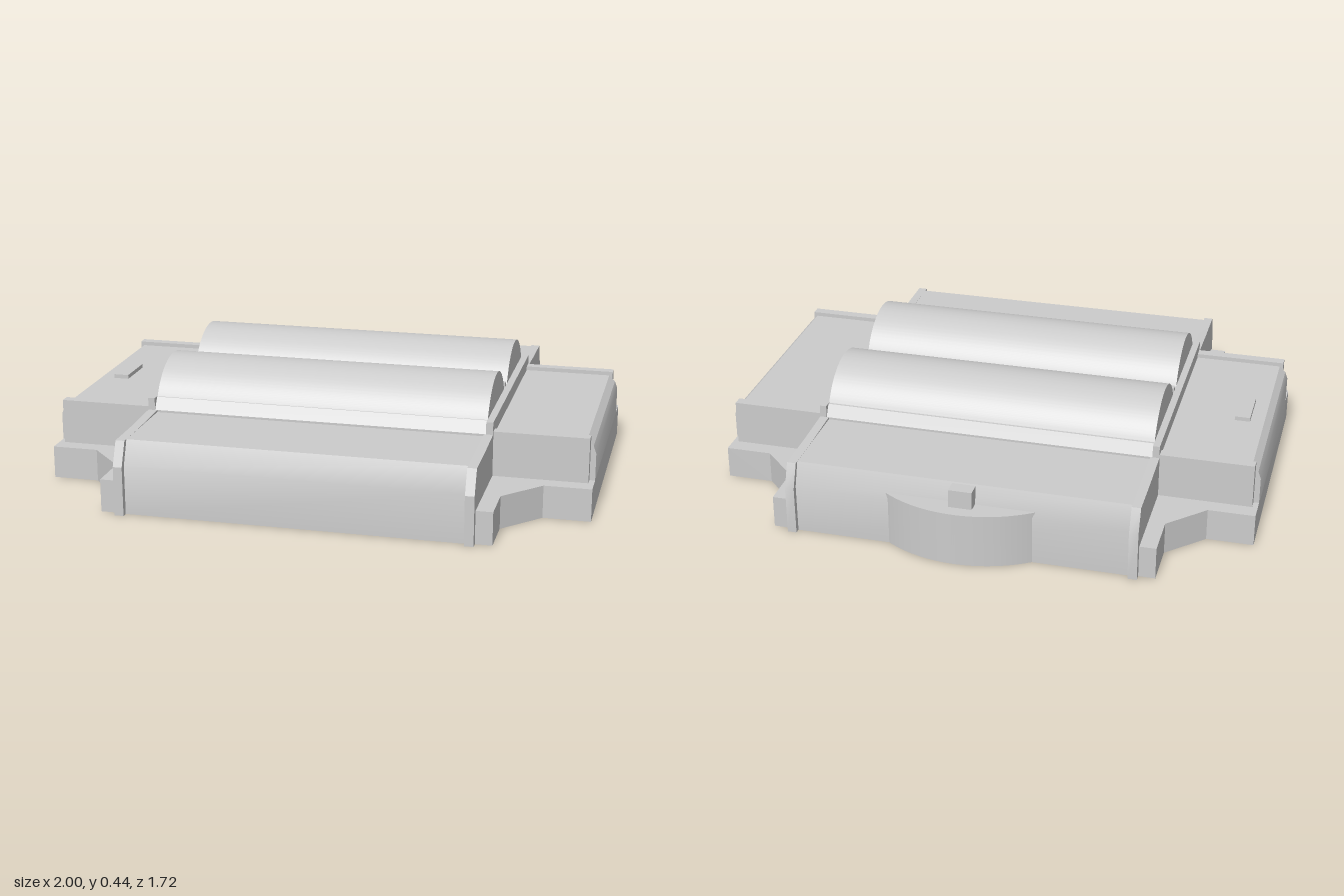
import * as THREE from 'three';
import { toCreasedNormals } from 'three/addons/utils/BufferGeometryUtils.js';

const material = new THREE.MeshStandardMaterial({ color: 0xcccccc });

const polygon = (points) => new THREE.Shape(points.map(([a, b]) => new THREE.Vector2(a, b)));

// Extrude a shape, keeping curved sides smooth and corners sharp
function extrude(shape, depth) {
  const g = new THREE.ExtrudeGeometry(shape, { depth, bevelEnabled: false, curveSegments: 40 });
  return toCreasedNormals(g, 0.4);
}
// Side profile (z, y) swept between two x positions
const alongX = (shape, x0, x1) => extrude(shape, x1 - x0).rotateY(-Math.PI / 2).translate(x1, 0, 0);
// Front profile (x, y) swept between two z positions
const alongZ = (shape, z0, z1) => extrude(shape, z1 - z0).translate(0, 0, z0);
// Plan outline (x, -z) raised from the ground
const upward = (shape, height) => extrude(shape, height).rotateX(-Math.PI / 2);

export function createModel() {
  const model = new THREE.Group();
  const add = (name, geometry) => {
    const mesh = new THREE.Mesh(geometry, material);
    mesh.name = name;
    model.add(mesh);
  };
  const addBox = (name, x0, x1, y0, y1, z0, z1) => add(name,
    new THREE.BoxGeometry(x1 - x0, y1 - y0, z1 - z0)
      .translate((x0 + x1) / 2, (y0 + y1) / 2, (z0 + z1) / 2));

  // Low cross-shaped base with angled inner corners
  add('base', upward(polygon([
    [-1, -0.53], [-0.83, -0.53], [-0.7, -0.67], [-0.7, -0.83],
    [0.7, -0.83], [0.7, -0.67], [0.83, -0.53], [1, -0.53],
    [1, 0.48], [0.83, 0.48], [0.7, 0.61], [0.7, 0.78],
    [-0.7, 0.78], [-0.7, 0.61], [-0.83, 0.48], [-1, 0.48],
  ]), 0.12));

  // Front-to-back body with sloped upper edges
  add('longBody', alongX(polygon([
    [0.835, 0], [0.835, 0.18], [0.8, 0.267], [-0.755, 0.267], [-0.785, 0.18], [-0.785, 0],
  ]), -0.61, 0.61));

  // Side-to-side body with sloped ends
  add('crossBody', alongZ(polygon([
    [-1, 0], [1, 0], [1, 0.22], [0.99, 0.247], [0.967, 0.27],
    [-0.967, 0.27], [-0.99, 0.247], [-1, 0.22],
  ]), -0.385, 0.435));

  // Thin cheek plates along both sides of the long body
  const cheek = polygon([
    [0.857, 0], [0.857, 0.18], [0.82, 0.267], [0.66, 0.268], [0.48, 0.275],
    [-0.42, 0.275], [-0.6, 0.268], [-0.77, 0.267], [-0.805, 0.18], [-0.805, 0],
  ]);
  // Square plates closing the ends of the raised deck
  for (const s of [-1, 1]) {
    const [x0, x1] = s < 0 ? [-0.64, -0.607] : [0.607, 0.64];
    add('cheekPlate', alongX(cheek, x0, x1));
    const [e0, e1] = s < 0 ? [-0.64, -0.615] : [0.615, 0.64];
    addBox('deckEnd', e0, e1, 0.25, 0.32, -0.425, 0.478);

    // Raised walls on either edge of the cross body
    const [w0, w1] = s < 0 ? [-0.98, -0.62] : [0.62, 0.98];
    addBox('backSideWall', w0, w1, 0.1, 0.285, -0.42, -0.382);
    addBox('frontSideWall', w0, w1, 0.1, 0.285, 0.432, 0.47);
  }

  // Raised deck with sloped front and back
  add('deck', alongX(polygon([
    [0.476, 0.25], [0.476, 0.275], [0.45, 0.318], [-0.4, 0.318], [-0.425, 0.275], [-0.425, 0.25],
  ]), -0.616, 0.616));

  // Two rounded rolls lying on the deck
  for (const z of [0.253, -0.2]) {
    const roll = new THREE.Shape();
    const a = Math.asin(0.085 / 0.215);
    roll.absarc(z, 0.22, 0.215, a, Math.PI - a, false);
    roll.closePath();
    add('roll', alongX(roll, -0.615, 0.615));
  }
  addBox('centreRail', -0.615, 0.615, 0.3, 0.335, 0.012, 0.035);

  // Curved bulge and small latch at the back
  const bulge = new THREE.Shape();
  bulge.absarc(0, 0.395, 0.47, 0.94, Math.PI - 0.94, false);
  bulge.closePath();
  add('backBulge', upward(bulge, 0.2));
  addBox('latch', -0.055, 0.03, 0.195, 0.267, -0.817, -0.765);

  // Small raised plate on one wing
  addBox('wingPlate', -0.915, -0.858, 0.26, 0.285, -0.06, 0.103);

  return model;
}
